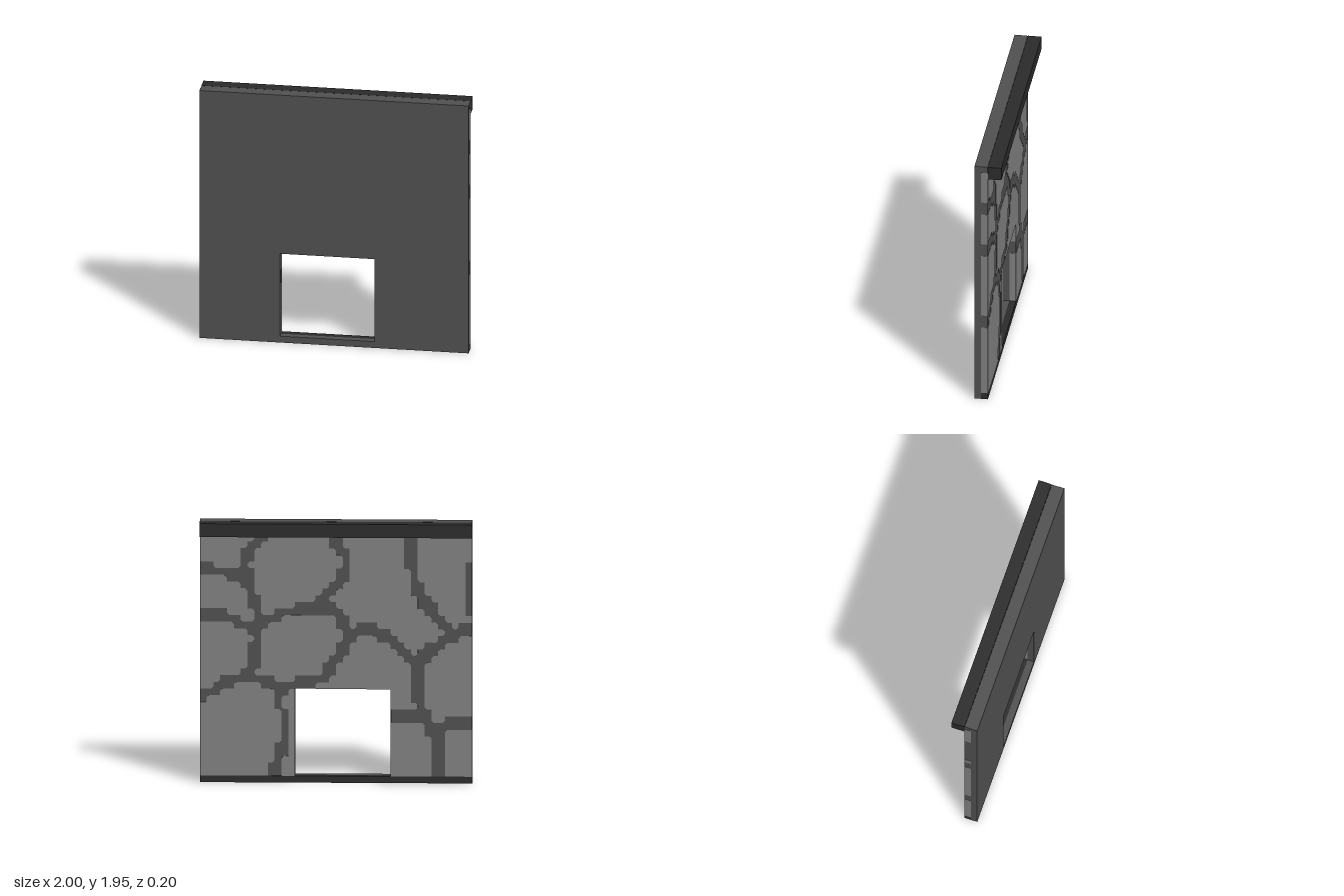
import * as THREE from 'three';

const CELL = 0.05, COLS = 40, ROWS = 39;
const WINDOW = { x0: -0.4, x1: 0.3, y0: 0.05, y1: 0.7 };

// Mortar joints as smooth curves through a few x, y points on the stone face
const joint = (...p) => {
  const points = [];
  for (let i = 0; i < p.length; i += 2) points.push(new THREE.Vector2(p[i], p[i + 1]));
  return new THREE.SplineCurve(points).getPoints(40);
};
const jointPoints = [
  joint(1, 1.6, 0.67, 1.55),
  joint(0.5, 1.87, 0.67, 1.65, 0.55, 1.2),
  joint(0.05, 1.87, -0.08, 1.62, 0.16, 1.3),
  joint(0.55, 1.18, 0.33, 1.28, 0.01, 1.28, -0.08, 1.07),
  joint(1, 1.25, 0.83, 1.24, 0.57, 1.12),
  joint(0.57, 1.16, 0.62, 0.8),
  joint(1, 0.63, 0.78, 0.76, 0.62, 0.8),
  joint(0.62, 0.79, 0.4, 0.73, 0.1, 0.79, -0.08, 1.07),
  joint(-0.08, 1.07, -0.24, 1.16, -0.59, 0.91),
  joint(-0.55, 1.9, -0.6, 1.45, -0.86, 1.12),
  joint(-0.59, 0.91, -0.86, 1.11, -1, 1.16),
  joint(-0.59, 0.91, -0.63, 0.54, -0.74, 0.35),
  joint(-0.41, 0.51, -0.62, 0.51),
  joint(-0.74, 0.35, -0.86, 0.46, -1, 0.45),
  joint(-0.74, 0.35, -0.77, 0.03),
  joint(0.41, 0.72, 0.42, 0.59),
  joint(0.38, 0.53, 0.38, 0.34, 0.46, 0.06),
  joint(-1, 1.26, -1, 1.64),
].flat();

// 'edge' is outside the stone face or in the window
function cellKind(c, r) {
  const x = -1 + (c + 0.5) * CELL, y = (r + 0.5) * CELL;
  if (c < 0 || c >= COLS || r < 1 || r >= ROWS - 1) return 'edge';
  if (x > WINDOW.x0 && x < WINDOW.x1 && y > WINDOW.y0 && y < WINDOW.y1) return 'edge';
  return jointPoints.some((p) => Math.hypot(p.x - x, p.y - y) < 0.041) ? 'mortar' : 'stone';
}

function polygon(points) {
  return new THREE.Shape(points.map(([x, y]) => new THREE.Vector2(x, y)));
}

// One row of stone from column c0 up to c1, with its free corners cut
function stoneRun(c0, c1, r) {
  const x0 = -1 + c0 * CELL, x1 = -1 + c1 * CELL, y0 = r * CELL, y1 = y0 + CELL;
  const points = [];
  const corner = (x, y, c, side, up) => {
    const free = cellKind(c + side, r) === 'mortar' && cellKind(c, r + up) === 'mortar';
    if (!free) return points.push([x, y]);
    const alongX = [x - side * 0.017, y], alongY = [x, y - up * 0.017];
    return side === up ? points.push(alongY, alongX) : points.push(alongX, alongY);
  };
  corner(x0, y0, c0, -1, -1);
  corner(x1, y0, c1 - 1, 1, -1);
  corner(x1, y1, c1 - 1, 1, 1);
  corner(x0, y1, c0, -1, 1);
  return polygon(points);
}

function stoneShapes() {
  const shapes = [];
  for (let r = 1; r < ROWS - 1; r++) {
    let start = -1;
    for (let c = 0; c <= COLS; c++) {
      const stone = cellKind(c, r) === 'stone';
      if (stone && start < 0) start = c;
      if (!stone && start >= 0) {
        shapes.push(stoneRun(start, c, r));
        start = -1;
      }
    }
  }
  return shapes;
}

export function createModel() {
  const model = new THREE.Group();
  model.name = 'wallWithWindow';

  const material = (name, color) => {
    const m = new THREE.MeshStandardMaterial({ color });
    m.name = name;
    return m;
  };
  const mortar = material('mortarGrey', 0x505050);
  const stone = material('stoneGrey', 0x808080);
  const trim = material('darkTrim', 0x2b2b2b);

  const add = (name, geometry, mat, x = 0, y = 0, z = 0) => {
    const mesh = new THREE.Mesh(geometry, mat);
    mesh.name = name;
    mesh.position.set(x, y, z);
    model.add(mesh);
  };
  const extrude = (shape, depth) =>
    new THREE.ExtrudeGeometry(shape, { depth, bevelEnabled: false });

  // Plain front slab with the window opening
  const { x0, x1, y0, y1 } = WINDOW;
  const slab = polygon([[-1, 0], [1, 0], [1, 1.95], [-1, 1.95]]);
  slab.holes.push(polygon([[x0, y0], [x0, y1], [x1, y1], [x1, y0]]));
  add('frontSlab', extrude(slab, 0.05), mortar, 0, 0, 0.05);

  // Mortar bed, set back a hair so the stones show on every exposed side
  const e = 0.002;
  const bed = polygon([
    [-1 + e, y0], [x0 - e, y0], [x0 - e, y1 + e], [x1 + e, y1 + e],
    [x1 + e, y0], [1 - e, y0], [1 - e, 1.95], [-1 + e, 1.95],
  ]);
  add('mortarBed', extrude(bed, 0.05 - e), mortar, 0, 0, e);

  // Irregular stones on the back
  add('stones', extrude(stoneShapes(), 0.05), stone);

  // Dark base strip and top rail
  add('baseStrip', new THREE.BoxGeometry(2, 0.05, 0.05), trim, 0, 0.025, 0.025);
  add('topRail', new THREE.BoxGeometry(2, 0.1, 0.1), trim, 0, 1.9, -0.05);

  return model;
}
